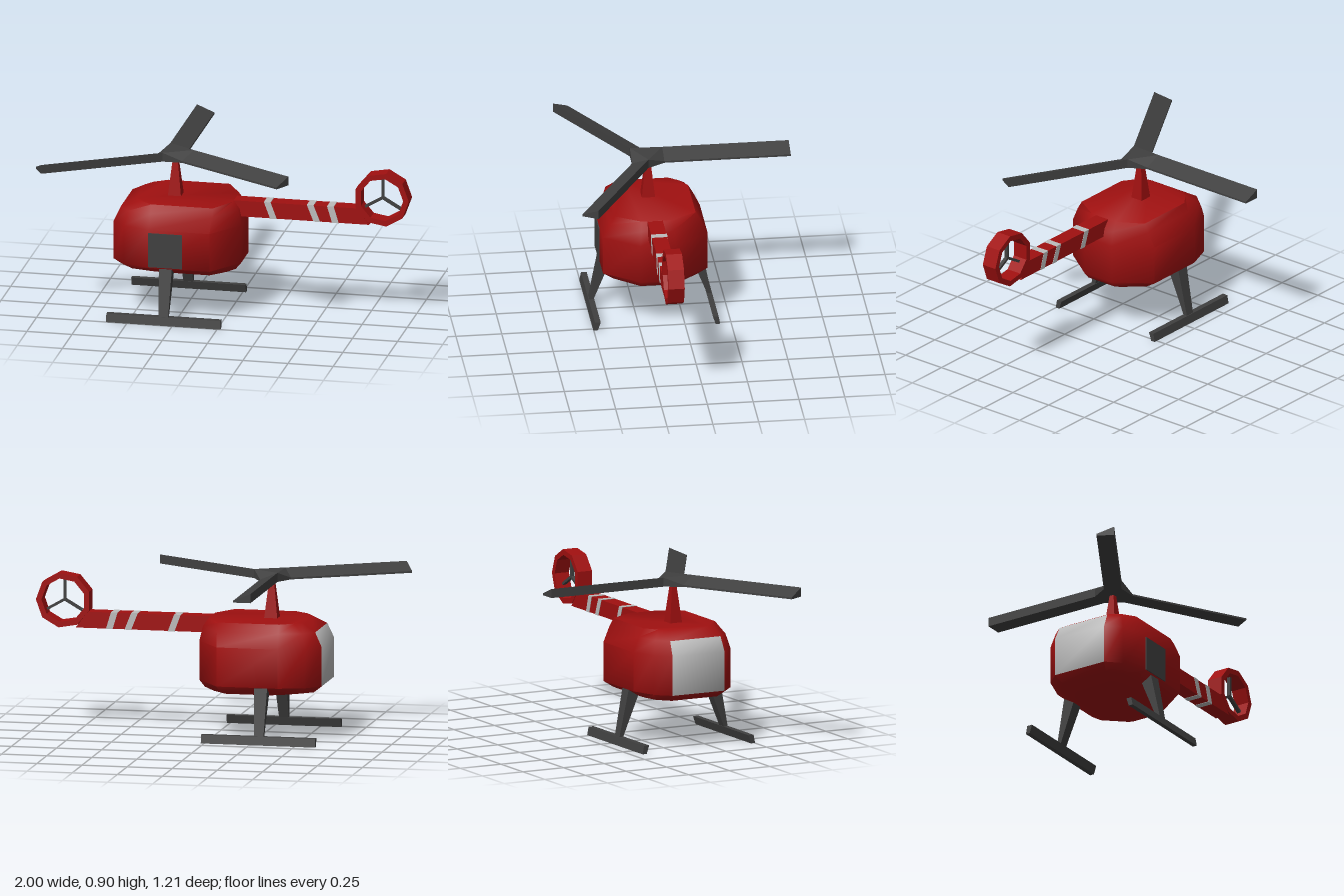
import * as THREE from 'three';
import { toCreasedNormals } from 'three/addons/utils/BufferGeometryUtils.js';
import { ConvexGeometry } from 'three/addons/geometries/ConvexGeometry.js';

const MID = 0.156;   // z of the cabin and skids
const TAIL = 0.167;  // z of the boom, mast and rotors

const mat = (name, color) => {
  const m = new THREE.MeshStandardMaterial({ color });
  m.name = name;
  return m;
};

// Solid between two level rectangles [x0, x1, z0, z1]
function frustum(y0, a, y1, b) {
  const g = new THREE.BoxGeometry(1, 1, 1);
  const p = g.attributes.position;
  for (let i = 0; i < p.count; i++) {
    const up = p.getY(i) > 0;
    const r = up ? b : a;
    p.setXYZ(i, p.getX(i) > 0 ? r[1] : r[0], up ? y1 : y0, p.getZ(i) > 0 ? r[3] : r[2]);
  }
  g.computeVertexNormals();
  return g;
}

// Cabin lofted from level rings; the nose columns form the windscreen (group 1)
function cabinGeometry() {
  // each ring: y, then [x, half width] from nose to rear
  const rings = [
    [0.247, [[-0.42, 0.10], [-0.38, 0.15], [-0.32, 0.17], [-0.08, 0.17], [0.0, 0.09]]],
    [0.268, [[-0.565, 0.14], [-0.50, 0.20], [-0.39, 0.225], [-0.06, 0.225], [0.05, 0.092]]],
    [0.305, [[-0.612, 0.16], [-0.54, 0.235], [-0.395, 0.285], [-0.055, 0.285], [0.08, 0.095]]],
    [0.52, [[-0.612, 0.16], [-0.54, 0.235], [-0.395, 0.285], [-0.055, 0.285], [0.08, 0.095]]],
    [0.60, [[-0.575, 0.155], [-0.52, 0.215], [-0.39, 0.247], [-0.05, 0.247], [0.062, 0.09]]],
    [0.646, [[-0.495, 0.12], [-0.46, 0.17], [-0.39, 0.22], [-0.05, 0.22], [0.03, 0.085]]],
  ];
  const pos = [], shell = [], glass = [], n = 10;
  for (const [y, half] of rings) {
    half.forEach(([x, w]) => pos.push(x, y, MID + w));
    [...half].reverse().forEach(([x, w]) => pos.push(x, y, MID - w));
  }
  const last = (rings.length - 1) * n;
  for (let r = 0; r < rings.length - 1; r++) {
    for (let i = 0; i < n; i++) {
      const j = (i + 1) % n, a = r * n + i, b = r * n + j;
      const list = i === n - 1 && (r === 2 || r === 3) ? glass : shell;
      list.push(a, b, b + n, a, b + n, a + n);
    }
  }
  for (let i = 1; i < n - 1; i++) {
    shell.push(last, last + i, last + i + 1, 0, i + 1, i);
  }
  const g = new THREE.BufferGeometry();
  g.setAttribute('position', new THREE.Float32BufferAttribute(pos, 3));
  g.setIndex([...shell, ...glass]);
  g.addGroup(0, shell.length, 0);
  g.addGroup(shell.length, glass.length, 1);
  return toCreasedNormals(g, 1.02);
}

export function createModel() {
  const red = mat('red paint', 0xa01010);
  const dark = mat('dark grey', 0x404040);
  const light = mat('light grey', 0xbcbcbc);
  const model = new THREE.Group();
  model.name = 'helicopter';
  const add = (name, geometry, material, parent = model) => {
    const m = new THREE.Mesh(geometry, material);
    m.name = name;
    parent.add(m);
    return m;
  };

  add('cabin', cabinGeometry(), [red, light]);

  // Door on one side only
  add('door', new THREE.BoxGeometry(0.187, 0.193, 0.008), dark).position.set(-0.3, 0.407, MID + 0.286);

  // Tail boom with three slanted bands
  const z0 = TAIL - 0.042, z1 = TAIL + 0.042;
  add('tailBoom', frustum(0.556, [-0.03, 0.78, z0, z1], 0.645, [-0.03, 0.712, z0, z1]), red);
  for (const [top, bottom] of [[0.197, 0.232], [0.435, 0.472], [0.547, 0.575]]) {
    const e = 0.002;
    add('tailStripe', frustum(0.556 - e, [bottom, bottom + 0.037, z0 - e, z1 + e],
      0.645 + e, [top, top + 0.037, z0 - e, z1 + e]), light);
  }

  // Nine-sided ring around the tail rotor
  const nonagon = (r) => Array.from({ length: 9 }, (_, i) =>
    new THREE.Vector2(r * Math.cos(i * Math.PI / 4.5), r * Math.sin(i * Math.PI / 4.5)));
  const ringShape = new THREE.Shape(nonagon(0.152));
  ringShape.holes.push(new THREE.Path(nonagon(0.121)));
  const ring = new THREE.ExtrudeGeometry(ringShape, { depth: 0.088, bevelEnabled: false });
  ring.translate(0, 0, -0.044);
  const tail = new THREE.Group();
  tail.name = 'tailRotor';
  tail.position.set(0.848, 0.703, TAIL);
  model.add(tail);
  add('tailRing', ring, red, tail);
  for (let i = 0; i < 3; i++) {
    const g = new THREE.BoxGeometry(0.014, 0.112, 0.02);
    g.translate(0, 0.056, 0);
    add('tailBlade', g, dark, tail).rotation.z = i * Math.PI * 2 / 3;
  }

  // Mast
  add('mast', frustum(0.63, [-0.338, -0.262, TAIL - 0.038, TAIL + 0.038],
    0.865, [-0.312, -0.288, TAIL - 0.012, TAIL + 0.012]), red);

  // Main rotor: three wedge blades on a small hub
  const rotor = new THREE.Group();
  rotor.name = 'mainRotor';
  rotor.position.set(-0.3, 0.855, 0.172);
  model.add(rotor);
  const wedge = new THREE.Shape([[-0.048, 0], [0.048, 0], [0.048, 0.01], [-0.048, 0.05]]
    .map(([x, y]) => new THREE.Vector2(x, y)));
  const blade = new THREE.ExtrudeGeometry(wedge, { depth: 0.69, bevelEnabled: false });
  blade.translate(0, 0, -0.78);
  const hubPoints = [];
  const up = new THREE.Vector3(0, 1, 0);
  for (let i = 0; i < 3; i++) {
    const angle = i * Math.PI * 2 / 3;
    add('rotorBlade', blade, dark, rotor).rotation.y = angle;
    for (const [x, y] of [[-0.048, 0], [0.048, 0], [0.048, 0.01], [-0.048, 0.05]]) {
      hubPoints.push(new THREE.Vector3(x, y, -0.09).applyAxisAngle(up, angle));
    }
  }
  add('rotorHub', new ConvexGeometry(hubPoints), dark, rotor);

  // Landing gear, mirrored about the cabin's middle
  for (const s of [1, -1]) {
    const rect = (x0, x1, near, far) =>
      [x0, x1, s > 0 ? MID + near : MID - far, s > 0 ? MID + far : MID - near];
    add('leg', frustum(0.03, rect(-0.326, -0.274, 0.316, 0.336),
      0.31, rect(-0.336, -0.264, 0.205, 0.28)), dark);
    add('skid', frustum(0, rect(-0.615, 0.018, 0.321, 0.346),
      0.046, rect(-0.615, 0.018, 0.306, 0.337)), dark);
  }
  return model;
}
